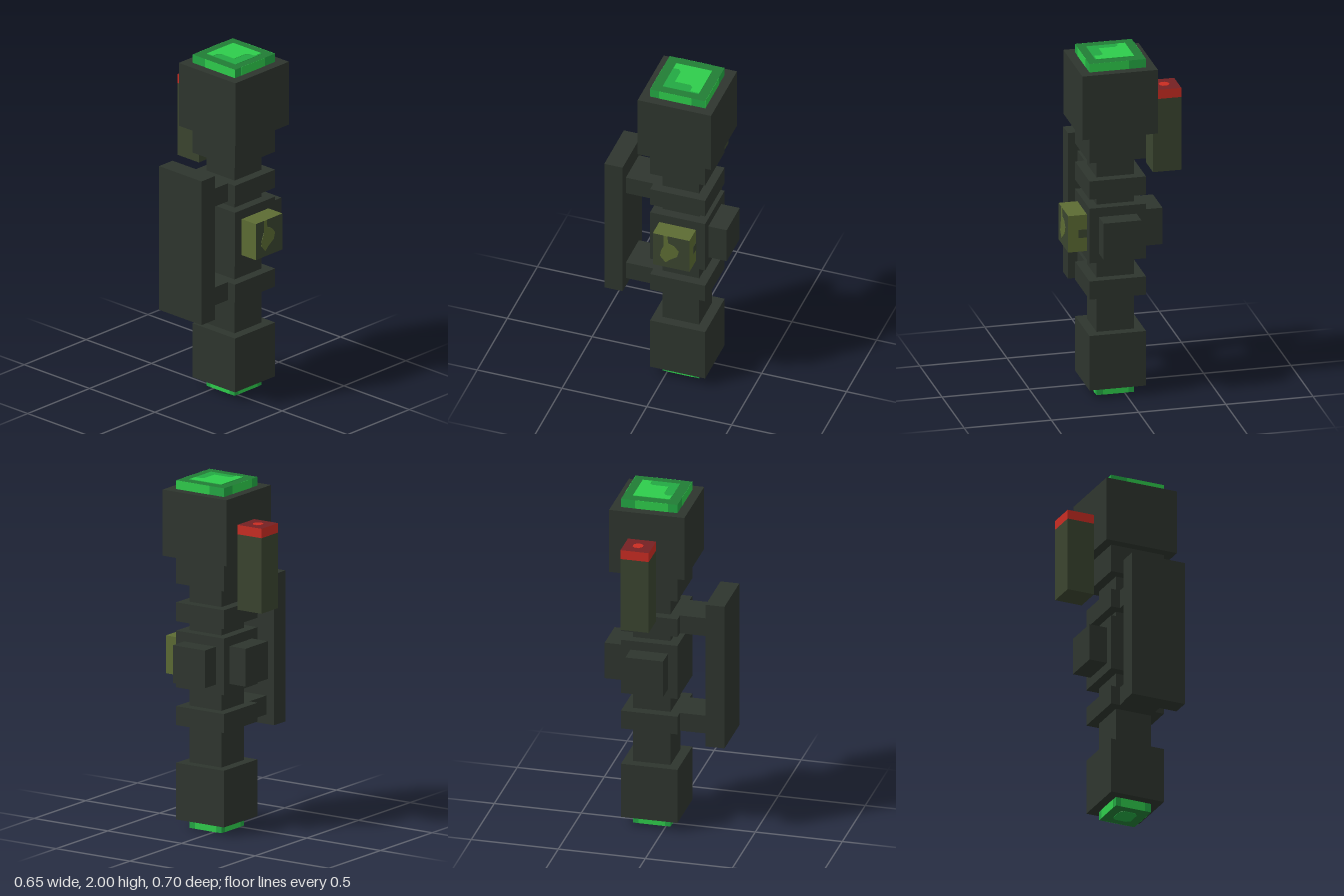
import * as THREE from 'three';

const U = 2 / 37; // one grid cell; the model is 37 cells tall
const T = 0.04;   // thickness of painted plates, in cells

const mat = (name, color) => {
  const m = new THREE.MeshStandardMaterial({ color });
  m.name = name;
  return m;
};

export function createModel() {
  const dark = mat('dark casing', 0x2e352e);
  const darkOlive = mat('dark olive', 0x3a442f);
  const olive = mat('olive', 0x5c6b33);
  const red = mat('red', 0xc92c22);
  const darkRed = mat('dark red', 0x752123);
  const bright = mat('bright green', 0x2ecc4b);
  const mid = mat('mid green', 0x23a843);
  const deep = mat('deep green', 0x217d35);

  const group = new THREE.Group();
  group.name = 'device';

  // Box from min/max corners; material may be an array in +x -x +y -y +z -z order
  const box = (name, [x0, x1], [y0, y1], [z0, z1], material = dark) => {
    const m = new THREE.Mesh(new THREE.BoxGeometry(x1 - x0, y1 - y0, z1 - z0), material);
    m.position.set((x0 + x1) / 2, (y0 + y1) / 2, (z0 + z1) / 2);
    m.name = name;
    group.add(m);
  };

  // Thin painted patch from an outline, turned to face its side
  const patch = (name, points, material, rotation, position) => {
    const shape = new THREE.Shape(points.map(([x, y]) => new THREE.Vector2(x, y)));
    const m = new THREE.Mesh(new THREE.ExtrudeGeometry(shape, { depth: T, bevelEnabled: false }), material);
    m.rotation.set(...rotation);
    m.position.set(...position);
    m.name = name;
    group.add(m);
  };
  const UP = [-Math.PI / 2, 0, 0], DOWN = [Math.PI / 2, 0, 0], SIDE = [0, Math.PI / 2, 0];

  // Square section around the central axis (x = 1, z = -1.5)
  const section = (name, half, y, material) =>
    box(name, [1 - half, 1 + half], y, [-1.5 - half, -1.5 + half], material);

  // Main column
  section('lowerBlock', 3, [1, 7]);
  section('shaft', 2, [7, 26]);
  section('lowerBand', 3, [11, 13]);
  section('middleBlock', 3, [15, 21]);
  section('upperBand', 3, [22, 24]);
  section('collar', 3, [26, 29]);
  section('head', 4, [29, 36]);

  // Grip plate on two arms
  box('gripPlate', [-2, 4], [10, 26], [4.5, 6.5]);
  for (const y of [11, 22]) box('gripArm', [-1, 3], [y, y + 2], [1.5, 4.5]);

  // Studs and the olive side button
  box('rightStud', [-4, -2], [16, 20], [-3.5, 0.5]);
  box('backStud', [-1, 3], [16, 20], [-6.5, -4.5]);
  box('sideButton', [4, 6], [16, 20], [-3.5, 0.5], [darkOlive, olive, olive, olive, olive, olive]);
  patch('buttonMark', [[0.7, 20], [1.1, 20], [1.2, 19.1], [1.85, 18.9], [2.35, 18.3], [2.15, 17.6],
    [1.3, 17], [0.9, 16.6], [0.3, 17.3], [0.4, 18], [0.7, 18.7]], olive, SIDE, [6, 0, 0]);
  box('buttonBackMark', [4, 4.9], [17.5, 18.4], [-3.5 - T, -3.5], darkOlive);

  // Side canister with red cap
  box('canister', [-6, -3], [24, 32], [-3.5, -0.5], darkOlive);
  box('canisterCap', [-6, -3], [32, 33], [-3.5, -0.5], [red, red, darkRed, darkRed, red, red]);
  const dot = [];
  for (let i = 0; i < 8; i++) {
    const a = (i + 0.5) * Math.PI / 4;
    dot.push([Math.cos(a) * 0.57, Math.sin(a) * 0.57]);
  }
  patch('capLight', dot, red, UP, [-4.55, 33, -2]);

  // Glowing end lenses
  const lens = [mid, mid, deep, deep, mid, mid];
  section('topLens', 3, [36, 37 - 2 * T], lens);
  section('bottomLens', 2, [T, 1], lens);
  patch('topGlow', [[-1, -0.45], [3.1, -0.45], [3.1, 3.5], [-1, 3.5]], mid, UP, [0, 37 - 2 * T, 0]);
  patch('topGlowCore', [[-1, -0.4], [-0.1, -0.4], [-0.1, 0.2], [0.25, 0.5], [2, 0.5], [2, 2.2],
    [2.3, 2.5], [3, 2.5], [3, 3.5], [-1, 3.5]], bright, UP, [0, 37 - T, 0]);
  patch('bottomGlow', [[0, -2.3], [0.4, -2.6], [1.6, -2.6], [2, -2.3], [2, -0.8], [1.6, -0.4],
    [0.4, -0.4], [0, -0.8]], mid, DOWN, [0, T, 0]);

  // Bright strips along the lens edges
  const strips = (half, y, xs, zs) => {
    for (const s of [-1, 1]) {
      const z = -1.5 + s * half, x = 1 + s * half;
      box('lensStrip', xs, y, [z - T / 2, z + T / 2], bright);
      box('lensStrip', [x - T / 2, x + T / 2], y, zs, bright);
    }
  };
  strips(3, [36, 37 - 2 * T], [-0.2, 4], [-3, 0.5]);
  strips(2, [T, 1], [-0.4, 2.3], [-2.9, -0.1]);

  group.scale.setScalar(U);
  const root = new THREE.Group();
  root.name = 'model';
  root.add(group);
  return root;
}
